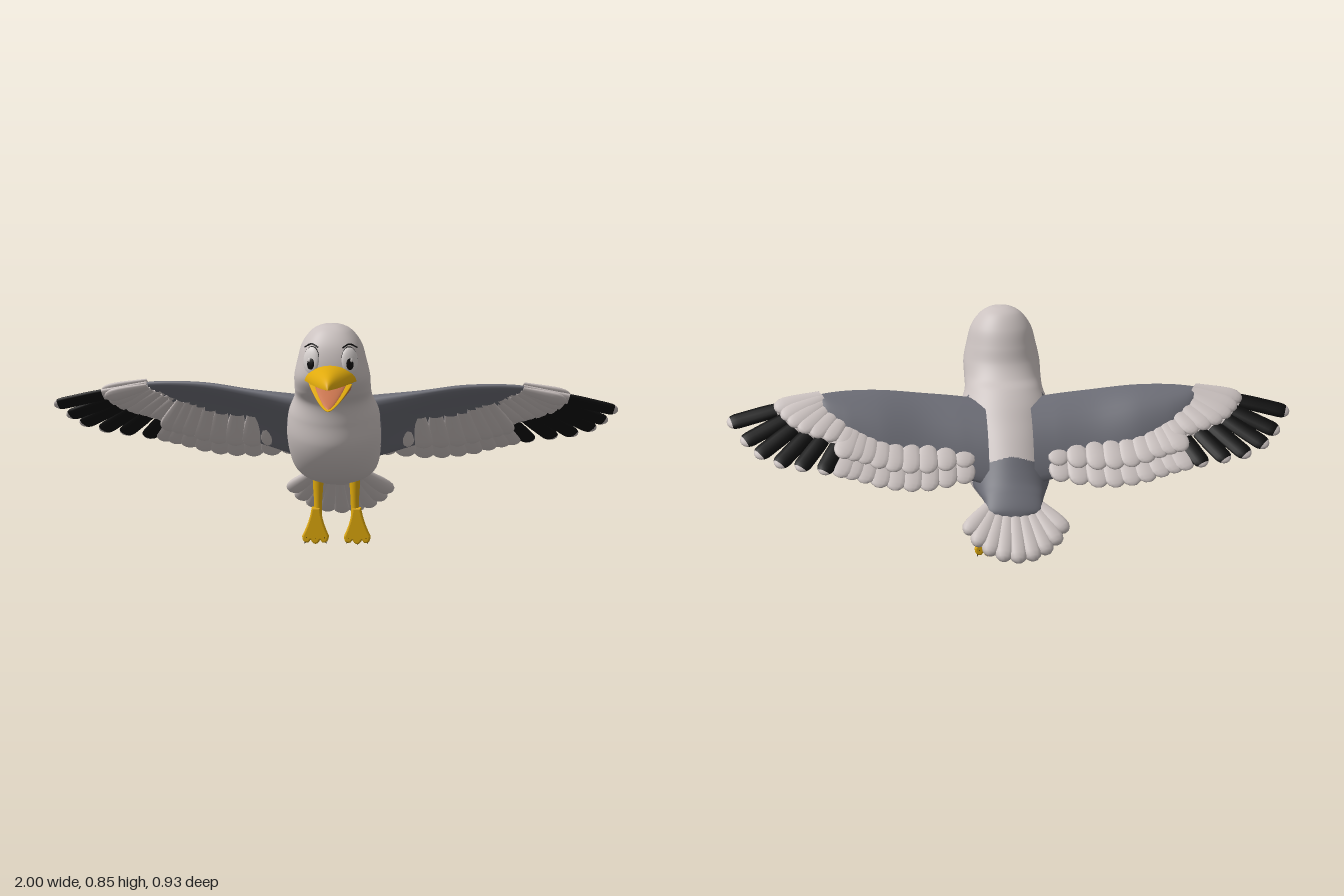
import * as THREE from 'three';

const V = (x, y, z) => new THREE.Vector3(x, y, z);
const curve = (pts) => new THREE.CatmullRomCurve3(pts.map((p) => V(...p)));
const mat = (name, color) => {
  const m = new THREE.MeshStandardMaterial({ color });
  m.name = name;
  return m;
};

// Surface through fn(u, v), closed around v; isSecond picks the faces for material 1
function loft(fn, nu, nv, isSecond) {
  const pos = [], faces = [[], []];
  for (let i = 0; i <= nu; i++) {
    for (let j = 0; j < nv; j++) pos.push(...fn(i / nu, (j / nv) * Math.PI * 2).toArray());
  }
  for (let i = 0; i < nu; i++) {
    for (let j = 0; j < nv; j++) {
      const k = (j + 1) % nv;
      const a = i * nv + j, b = a + nv, c = (i + 1) * nv + k, d = i * nv + k;
      for (const t of [[a, c, b], [a, d, c]]) {
        const mid = V(0, 0, 0);
        t.forEach((q) => mid.add(V(pos[q * 3], pos[q * 3 + 1], pos[q * 3 + 2]).divideScalar(3)));
        faces[isSecond && isSecond(mid, ((j + 0.5) / nv) * Math.PI * 2) ? 1 : 0].push(...t);
      }
    }
  }
  const g = new THREE.BufferGeometry();
  g.setAttribute('position', new THREE.Float32BufferAttribute(pos, 3));
  g.setIndex([...faces[0], ...faces[1]]);
  if (isSecond) {
    g.addGroup(0, faces[0].length, 0);
    g.addGroup(faces[0].length, faces[1].length, 1);
  }
  g.computeVertexNormals();
  return g;
}

// Moves a geometry so its y runs along dir and its z faces normal
function orient(g, at, dir, normal, sx = 1, sy = 1, sz = 1) {
  const y = dir.clone().normalize();
  const x = y.clone().cross(normal).normalize();
  const z = x.clone().cross(y);
  const m = new THREE.Matrix4().makeBasis(x, y, z).scale(V(sx, sy, sz)).setPosition(at);
  return g.applyMatrix4(m);
}

// Copies a group of baked meshes to the other side
function mirror(group, name) {
  const out = new THREE.Group();
  out.name = name;
  group.children.forEach((mesh) => {
    const g = mesh.geometry.clone().applyMatrix4(new THREE.Matrix4().makeScale(-1, 1, 1));
    const ix = g.index ? Array.from(g.index.array) : [...Array(g.attributes.position.count).keys()];
    for (let i = 0; i < ix.length; i += 3) [ix[i], ix[i + 2]] = [ix[i + 2], ix[i]];
    g.setIndex(ix);
    const copy = new THREE.Mesh(g, mesh.material);
    copy.name = mesh.name;
    out.add(copy);
  });
  return out;
}

export function createModel() {
  const white = mat('whitePlumage', 0xcbc2c0), gray = mat('grayPlumage', 0x6c6d76);
  const black = mat('black', 0x0c0c0c), yellow = mat('yellow', 0xe0aa0c);
  const orange = mat('mouthOrange', 0xc8744e), eyeWhite = mat('eyeWhite', 0xd6d0ce);
  const root = new THREE.Group();
  root.name = 'seabird';
  const group = (name) => {
    const g = new THREE.Group();
    g.name = name;
    root.add(g);
    return g;
  };
  const add = (parent, name, geo, material) => {
    const m = new THREE.Mesh(geo, material);
    m.name = name;
    parent.add(m);
  };

  // Flat feather with a rounded tip, split lengthwise into colour bands
  function feather(parent, name, base, tip, w, thick, normal, bands) {
    const dir = tip.clone().sub(base), len = dir.length(), k = 1 - (w * 1.2) / len;
    const r = (t) => w * (0.6 + 0.4 * Math.min(1, t / 0.6)) *
      (t > k ? Math.sqrt(Math.max(0, 1 - ((t - k) / (1 - k)) ** 2)) : 1);
    bands.forEach(([a, b, m]) => {
      const pts = [];
      for (let i = 0; i <= 9; i++) {
        const t = a + (b - a) * Math.sin((i / 9) * Math.PI / 2);
        pts.push(new THREE.Vector2(r(t), t * len));
      }
      add(parent, name, orient(new THREE.LatheGeometry(pts, 12), base, dir, normal, 1, 1, thick / w), m);
    });
  }

  // Head and body in one skin: front line (half width, y, z) and back line
  const front = curve([[0, 0.85, 0.19], [0.037, 0.844, 0.227], [0.07, 0.825, 0.255], [0.105, 0.78, 0.285],
    [0.122, 0.72, 0.3], [0.134, 0.66, 0.298], [0.135, 0.605, 0.265], [0.138, 0.555, 0.215],
    [0.16, 0.48, 0.2], [0.168, 0.4, 0.19], [0.165, 0.33, 0.15], [0.155, 0.265, 0.07], [0.14, 0.228, -0.05],
    [0.122, 0.217, -0.15], [0.106, 0.21, -0.24], [0.092, 0.18, -0.3], [0, 0.185, -0.34]]);
  const back = curve([[0, 0.85, 0.19], [0, 0.844, 0.15], [0, 0.828, 0.118], [0, 0.78, 0.08],
    [0, 0.72, 0.055], [0, 0.665, 0.035], [0, 0.62, 0], [0, 0.59, -0.04],
    [0, 0.545, -0.085], [0, 0.49, -0.13], [0, 0.44, -0.17], [0, 0.385, -0.21], [0, 0.34, -0.24],
    [0, 0.305, -0.265], [0, 0.275, -0.29], [0, 0.22, -0.33], [0, 0.185, -0.34]]);
  const bodySkin = (u, v) => {
    const f = front.getPoint(u), b = back.getPoint(u);
    let c = Math.cos(v);
    // fuller cheeks on the face
    if (c > 0) c *= 1 + 0.25 * (1 - c * c) * (1 - THREE.MathUtils.smoothstep(u, 0.3, 0.45));
    return V(-f.x * Math.sin(v), (f.y + b.y) / 2 + c * (f.y - b.y) / 2, (f.z + b.z) / 2 + c * (f.z - b.z) / 2);
  };
  // Gray flanks and rump around a white saddle
  const isGray = (p, v) => {
    const c = Math.cos(v);
    if (c < -0.35 && Math.abs(p.x / 0.13) ** 3.5 + Math.abs(p.z / 0.21) ** 3.5 < 1) return false;
    if (p.z < -0.17 && c < 0.05) return true;
    return ((p.z + 0.17) / 0.233) ** 2 + ((p.y - 0.5) / 0.2) ** 2 < 1 && p.z + 0.5 * p.y < 0.305;
  };
  add(root, 'body', loft(bodySkin, 200, 140, isGray), [white, gray]);

  // Wing arm: cambered sections hung from the leading edge
  const wing = group('leftWing');
  const lead = curve([[0.08, 0.54, 0.035], [0.17, 0.555, 0.033], [0.3, 0.573, 0.022], [0.45, 0.592, 0],
    [0.57, 0.595, -0.015], [0.65, 0.59, -0.03], [0.7, 0.582, -0.042]]);
  const size = curve([[0.36, 0.07, 0], [0.345, 0.058, 0], [0.31, 0.038, 0], [0.255, 0.03, 0],
    [0.19, 0.024, 0], [0.11, 0.018, 0], [0.005, 0.003, 0]]);
  const chordDir = V(0, -0.707, -0.707), up = V(0, 0.707, -0.707);
  add(wing, 'wingArm', loft((u, v) => {
    const s = (1 - Math.cos(v)) / 2, { x: c, y: t } = size.getPoint(u);
    return lead.getPoint(u).addScaledVector(chordDir, c * s)
      .addScaledVector(up, -t * Math.sin(v) * (1 - 0.5 * s) + 0.08 * c * Math.sin(Math.PI * s));
  }, 40, 28), gray);

  // Flight feathers and shorter coverts above and below
  const bases = curve([[0.16, 0.44, -0.12], [0.3, 0.44, -0.13], [0.42, 0.45, -0.13], [0.5, 0.48, -0.11],
    [0.55, 0.5, -0.1], [0.58, 0.53, -0.08], [0.61, 0.55, -0.065], [0.64, 0.565, -0.055],
    [0.655, 0.575, -0.05], [0.665, 0.58, -0.045]]);
  const tips = curve([[0.175, 0.3, -0.25], [0.32, 0.283, -0.287], [0.45, 0.293, -0.287], [0.57, 0.325, -0.272],
    [0.66, 0.345, -0.268], [0.75, 0.36, -0.262], [0.83, 0.372, -0.252], [0.905, 0.4, -0.215],
    [0.955, 0.44, -0.16], [1, 0.497, -0.075]]);
  const plain = [[0, 1, white]];
  const dipped = [[0, 0.48, white], [0.48, 0.955, black], [0.955, 1, white]];
  // name, count, curve range, reach, lift, base moved forward, half width, bands
  [['secondary', 9, 0, 0.4, 1, 0, 0, 0.04, plain],
    ['primary', 6, 0.47, 1, 1, 0, 0, 0.031, dipped],
    ['upperCovert', 9, 0, 0.42, 0.7, 0.015, 0, 0.04, plain],
    ['upperPrimaryCovert', 7, 0.45, 1, 0.5, 0.013, 0, 0.034, plain],
    ['underCovert', 9, 0, 0.42, 0.62, -0.016, 0.05, 0.04, plain],
    ['underPrimaryCovert', 7, 0.45, 1, 0.46, -0.013, 0, 0.034, plain],
  ].forEach(([name, n, u0, u1, reach, lift, shift, w, bands]) => {
    for (let i = 0; i < n; i++) {
      const u = u0 + ((u1 - u0) * i) / (n - 1), b = bases.getPoint(u);
      const t = b.clone().lerp(tips.getPoint(u), reach).addScaledVector(up, lift);
      b.addScaledVector(up, lift * 0.8).addScaledVector(chordDir, -shift);
      feather(wing, name, b, t, w, 0.012, up, bands);
    }
  });
  root.add(mirror(wing, 'rightWing'));

  // Tail fan
  const tail = group('tail');
  [[0, 0.054, -0.461], [0.055, 0.06, -0.455], [0.105, 0.078, -0.437], [0.148, 0.108, -0.41], [0.18, 0.145, -0.372]]
    .forEach(([x, y, z], i) => {
      (i ? [1, -1] : [1]).forEach((s) => {
        feather(tail, 'tailFeather', V(s * x * 0.35, 0.242, -0.27 + i * 0.002), V(s * x, y, z),
          0.034, 0.02, up, plain);
      });
    });

  // Open beak: half-round sections above and below a rim line
  const beak = group('beak');
  const jaw = (z1, w, rim, high, low) => loft((u, v) => {
    const s = Math.sin(v);
    return V(w(u) * Math.cos(v), rim(u) + s * (s > 0 ? high(u) : low(u)), 0.25 + (z1 - 0.25) * u);
  }, 28, 28);
  add(beak, 'upperBeak', jaw(0.468, (u) => 0.1 * (1 - u) ** 0.72, () => 0.658,
    (u) => 0.064 * (1 - 0.3 * u) * Math.sqrt(1 - u ** 4), (u) => 0.008 * (1 - u)), yellow);
  const lowW = (k) => (u) => k * (1 - u) ** 0.65;
  const rim = (u) => 0.66 - 0.083 * u;
  add(beak, 'lowerBeakRim', jaw(0.442, lowW(0.086), rim, (u) => 0.006 * (1 - u),
    (u) => 0.026 * Math.sqrt(1 - u)), yellow);
  add(beak, 'lowerBeakHull', jaw(0.442, lowW(0.083), rim, () => 0, (u) => 0.072 * (1 - u) ** 1.2), orange);
  add(beak, 'mouthFloor', jaw(0.432, lowW(0.068), (u) => rim(u * 0.948), (u) => 0.016 * Math.sqrt(1 - u), () => 0), orange);
  add(beak, 'throat', orient(new THREE.SphereGeometry(1, 20, 14), V(0, 0.635, 0.28), V(0, 1, 0), V(0, 0, 1),
    0.062, 0.03, 0.03), orange);

  // Eyes: dark rim, white, pupil, glint and brow
  const eye = group('leftEye');
  const look = V(0.48, 0.14, 0.86).normalize(), at = V(0.066, 0.73, 0.275);
  [['eyeRim', 0, 0, 0, 0.0345, 0.0525, 0.0135, black], ['eyeball', 0, 0, 0.002, 0.033, 0.05, 0.0165, eyeWhite],
    ['pupil', -0.004, -0.008, 0.014, 0.016, 0.024, 0.007, black],
    ['glint', 0, 0.003, 0.0195, 0.005, 0.007, 0.003, eyeWhite]]
    .forEach(([name, dx, dy, out, rx, ry, rz, m]) => {
      const p = at.clone().addScaledVector(look, out).add(V(dx * 0.87, dy, -dx * 0.48));
      add(eye, name, orient(new THREE.SphereGeometry(1, 20, 14), p, V(-0.06, 1, -0.1), look, rx, ry, rz), m);
    });
  add(eye, 'brow', new THREE.TubeGeometry(
    curve([[0.042, 0.778, 0.284], [0.066, 0.79, 0.269], [0.092, 0.774, 0.246]]), 12, 0.003, 6), black);
  root.add(mirror(eye, 'rightEye'));

  // Hanging legs with webbed feet and claws
  const leg = group('leftLeg');
  const shank = [[0, 0.05], [0.015, 0.06], [0.014, 0.12], [0.0145, 0.16], [0.018, 0.21], [0.02, 0.25]]
    .map(([r, y]) => new THREE.Vector2(r, y));
  add(leg, 'shank', new THREE.LatheGeometry(shank, 16).translate(0.065, 0, -0.099), yellow);
  const foot = new THREE.Shape();
  foot.moveTo(-0.012, 0.13);
  foot.quadraticCurveTo(-0.018, 0.08, -0.041, 0.032);
  foot.quadraticCurveTo(-0.04, 0.012, -0.027, 0.016);
  foot.quadraticCurveTo(-0.016, 0.034, -0.009, 0.018);
  foot.quadraticCurveTo(0, 0.004, 0.009, 0.018);
  foot.quadraticCurveTo(0.016, 0.034, 0.027, 0.016);
  foot.quadraticCurveTo(0.04, 0.012, 0.041, 0.032);
  foot.quadraticCurveTo(0.016, 0.08, 0.008, 0.13);
  add(leg, 'webbedFoot', new THREE.ExtrudeGeometry(foot, { depth: 0.014, bevelSize: 0.006, bevelThickness: 0.008,
    bevelSegments: 3, curveSegments: 8 }).translate(0.074, 0, -0.104), yellow);
  [[-0.035, 0.016], [0, 0.013], [0.035, 0.016]].forEach(([x, y]) => {
    add(leg, 'claw', orient(new THREE.ConeGeometry(0.011, 0.026, 10), V(0.074 + x, y, -0.097),
      V(x * 0.4, -0.05, 0), V(0, 0, 1), 0.8, 1, 1.5), black);
  });
  root.add(mirror(leg, 'rightLeg'));
  return root;
}
